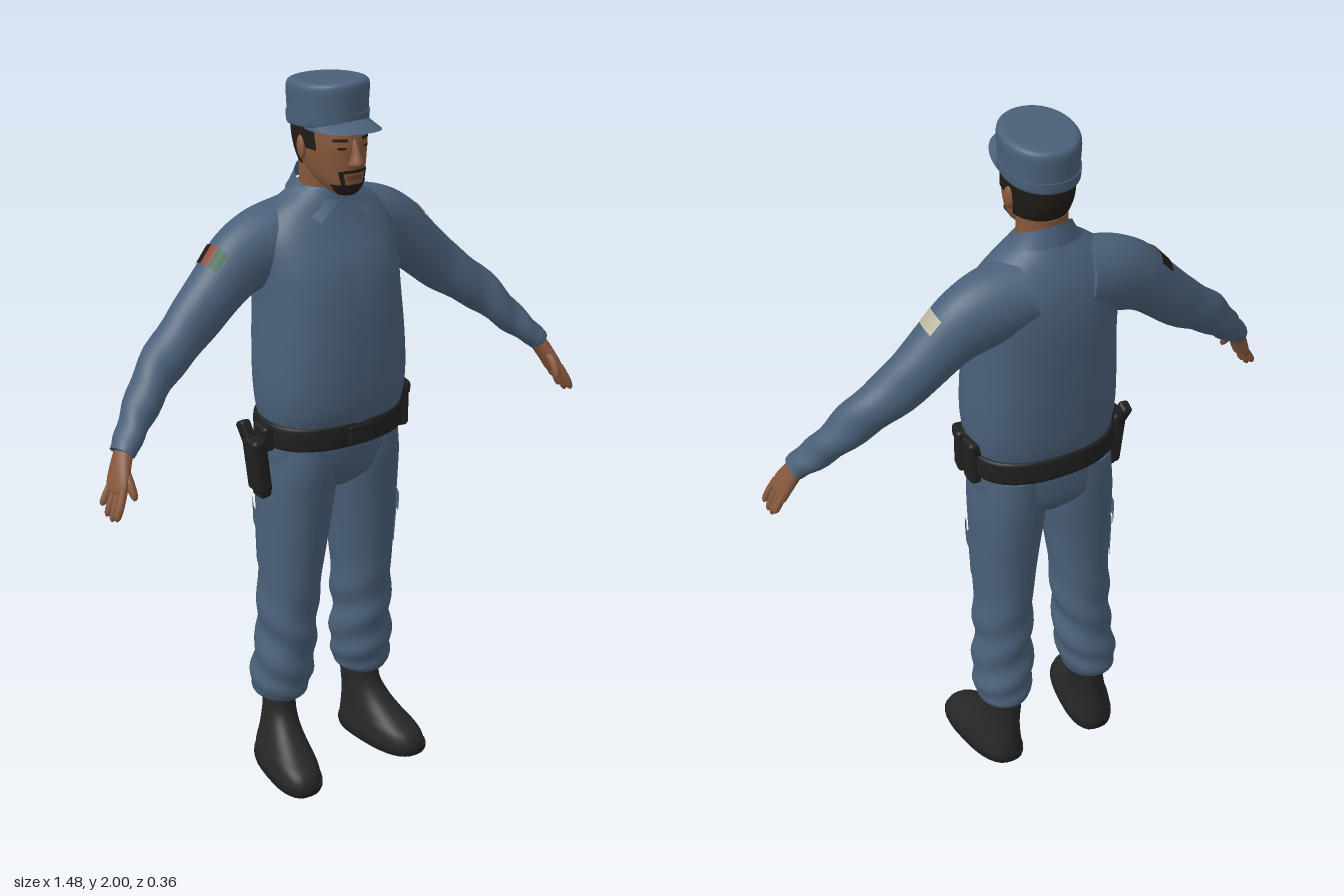
import * as THREE from 'three';
import { RoundedBoxGeometry } from 'three/addons/geometries/RoundedBoxGeometry.js';

const { PI } = Math, V = (x, y, z) => new THREE.Vector3(x, y, z);
const paint = (name, color, open) => {
  const m = new THREE.MeshStandardMaterial({ color, side: open ? THREE.DoubleSide : THREE.FrontSide });
  m.name = name;
  return m;
};

// Smoothly interpolates a table of cross-sections; v is a fractional row index.
function rowAt(rows, v) {
  const n = rows.length - 1, i = Math.min(Math.max(Math.floor(v), 0), n - 1), t = v - i;
  const r = k => rows[Math.min(Math.max(k, 0), n)];
  return rows[i].map((p1, c) => {
    const p0 = r(i - 1)[c], p2 = r(i + 1)[c], p3 = r(i + 2)[c];
    return p1 + 0.5 * t * (p2 - p0 + t * (2 * p0 - 5 * p1 + 4 * p2 - p3 + t * (3 * (p1 - p2) + p3 - p0)));
  });
}
const pow = (c, e) => Math.sign(c) * Math.abs(c) ** e;

// Upright surface, rows: [y, centreX, halfWidth, zFront, zBack, squareness]
const upright = (rows, ripple = () => 0) => ({
  max: rows.length - 1,
  at(v, t, grow) {
    const [y, cx, rx, zf, zb, e] = rowAt(rows, v), g = grow + ripple(v, t);
    return V(cx + (rx + g) * pow(Math.cos(t), 2 / e), y, (zf + zb) / 2 + ((zf - zb) / 2 + g) * pow(Math.sin(t), 2 / e));
  },
});

// Limb surface along a path, rows: [x, y, z, thickness, width]
const limb = (rows, ripple = () => 0) => ({
  max: rows.length - 1,
  at(v, t, grow) {
    const m = rows.length - 1, [x, y, z, rn, rz] = rowAt(rows, v), g = grow + ripple(v, t);
    const p = rowAt(rows, Math.max(v - 0.1, 0)), q = rowAt(rows, Math.min(v + 0.1, m));
    const d = V(q[0] - p[0], q[1] - p[1], q[2] - p[2]).normalize();
    const a = V(0, 0, 1).addScaledVector(d, -d.z).normalize(), b = a.clone().cross(d);
    return V(x, y, z).addScaledVector(a, (rz + g) * Math.cos(t)).addScaledVector(b, (rn + g) * Math.sin(t));
  },
});

// Meshes a surface, either whole with end caps or only a patch of it.
function skin(S, { v0 = 0, v1 = S.max, t0 = 0, t1 = 2 * PI, grow = 0, nt = 32, nv = Math.ceil((v1 - v0) * 5) } = {}) {
  const full = t1 - t0 > 6.28, cols = full ? nt : nt + 1, pos = [], idx = [];
  const ring = i => {
    for (let j = 0; j < cols; j++) pos.push(...S.at(v0 + (v1 - v0) * i / nv, t0 + (t1 - t0) * j / nt, grow).toArray());
  };
  for (let i = 0; i <= nv; i++) ring(i);
  for (let i = 0; i < nv; i++) for (let j = 0; j < nt; j++) {
    const a = i * cols + j, b = i * cols + (j + 1) % cols;
    idx.push(a, a + cols, b, b, a + cols, b + cols);
  }
  if (full) for (const end of [0, nv]) {
    const s = pos.length / 3, c = V(0, 0, 0);
    ring(end);
    for (let j = 0; j < cols; j++) c.add(V(...pos.slice((s + j) * 3, (s + j) * 3 + 3)));
    pos.push(...c.divideScalar(cols).toArray());
    for (let j = 0; j < cols; j++) {
      const k = s + (j + 1) % cols;
      idx.push(s + cols, ...(end ? [k, s + j] : [s + j, k]));
    }
  }
  const g = new THREE.BufferGeometry();
  g.setAttribute('position', new THREE.Float32BufferAttribute(pos, 3));
  g.setIndex(idx);
  g.computeVertexNormals();
  return g;
}

// Moves every vertex by a rule.
function bend(g, rule) {
  const p = g.attributes.position;
  for (let i = 0; i < p.count; i++) p.setXYZ(i, ...rule(p.getX(i), p.getY(i), p.getZ(i)));
  g.computeVertexNormals();
  return g;
}
function mirror(src) {
  const g = src.clone(), a = g.index.array;
  for (let i = 0; i < a.length; i += 3) [a[i], a[i + 1]] = [a[i + 1], a[i]];
  return bend(g, (x, y, z) => [-x, y, z]);
}

export function createModel() {
  const model = new THREE.Group();
  const cloth = paint('blue cloth', 0x4a6079, true), flesh = paint('skin', 0x87583c), hair = paint('dark hair', 0x211b18, true);
  const leather = paint('black leather', 0x202021), boot = paint('boot black', 0x272727), lip = paint('lip', 0x6d4030, true);
  const cream = paint('cream patch', 0xb9b49c, true), red = paint('flag red', 0x8c4a38, true), green = paint('flag green', 0x0f5a38, true);
  const add = (name, g, mat) => {
    const m = new THREE.Mesh(g, mat);
    m.name = name;
    model.add(m);
    return m;
  };
  const pair = (name, g, mat) => { add('left ' + name, g, mat); add('right ' + name, mirror(g), mat); };
  const box = (name, size, at, mat, rot = [0, 0, 0]) => {
    const m = add(name, new RoundedBoxGeometry(...size, 3, Math.min(...size) * 0.3), mat);
    m.position.set(...at);
    m.rotation.set(...rot);
  };

  // Shirt with placket and pocket flaps
  const torso = upright([
    [1.07, 0, .192, .122, -.15, 2.4], [1.13, 0, .205, .145, -.165, 2.4], [1.2, 0, .21, .152, -.172, 2.4],
    [1.3, 0, .207, .15, -.178, 2.4], [1.42, 0, .2, .138, -.182, 2.4], [1.52, 0, .2, .115, -.18, 2.4],
    [1.6, 0, .195, .078, -.165, 2.3], [1.66, 0, .155, .05, -.14, 2.1], [1.7, 0, .1, .036, -.115, 2], [1.72, 0, .074, .028, -.1, 2]]);
  add('shirt', skin(torso, { nt: 48 }), cloth);
  add('placket', skin(torso, { v0: .2, v1: 7.6, t0: PI / 2 - .05, t1: PI / 2 + .05, grow: .003, nt: 4 }), cloth);
  pair('pocket flap', skin(torso, { v0: 4.72, v1: 5.15, t0: .72, t1: 1.32, grow: .006, nt: 10 }), cloth);

  // Fold-down collar, open at the front
  const collar = { max: 1, at(v, t) {
    const f = .75 + (t / PI) * (PI - .75), c = Math.cos(f), k = c > 0;
    const top = V(.078 * Math.sin(t), 1.728 - .04 * Math.cos(t), -.03 + .075 * Math.cos(t));
    const low = V(.105 * Math.sin(f), 1.695 - (k ? .075 : .02) * c, -.035 + (k ? .135 : .085) * c);
    return low.lerp(top, v);
  } };
  pair('collar', skin(collar, { t0: .03, t1: PI, nv: 4, nt: 24 }), cloth);

  // Sleeves with shoulder patch and flag
  const sleeve = limb([
    [.08, 1.585, -.07, .1, .1], [.17, 1.565, -.07, .103, .09], [.24, 1.535, -.068, .095, .08], [.3, 1.49, -.063, .08, .073],
    [.4, 1.4, -.053, .07, .063], [.515, 1.312, -.025, .057, .056], [.6, 1.224, .015, .042, .047],
    [.655, 1.17, .05, .032, .041], [.67, 1.154, .057, .03, .038]],
  (v, t) => v > 3.5 && v < 7.5 ? .003 * Math.sin(2 * t + v * 6) * Math.sin((v - 3.5) * PI / 4) : 0);
  pair('sleeve', skin(sleeve), cloth);
  add('shoulder patch', skin(sleeve, { v0: 2.45, v1: 2.95, t0: 1.15, t1: 2.05, grow: .003, nt: 8 }), cream);
  [['green', green, .9, 1.28], ['red', red, 1.28, 1.68], ['black', hair, 1.68, 2.25]].forEach(([n, mat, t0, t1]) =>
    add(`flag ${n} stripe`, mirror(skin(sleeve, { v0: 2.4, v1: 3, t0, t1, grow: .003, nt: 6 })), mat));

  // Hands
  pair('palm', skin(limb([[.65, 1.178, .047, .022, .028], [.674, 1.14, .062, .022, .033], [.695, 1.1, .078, .018, .042],
    [.707, 1.072, .088, .014, .042], [.71, 1.064, .09, .006, .036]]), { nt: 20 }), flesh);
  [-1.5, -.5, .5, 1.5].forEach((k, i) => {
    const z = .088 + k * .021, len = [.7, .95, 1, .88][i];
    pair('finger ' + (i + 1), skin(limb([[.702, 1.085, z, .01, .01], [.72, 1.085 - .042 * len, z + .006 + k * .003, .0105, .0105],
      [.731, 1.085 - .07 * len, z + .008 + k * .004, .009, .009], [.735, 1.085 - .081 * len, z + .008 + k * .005, .003, .003]]), { nt: 10 }), flesh);
  });
  pair('thumb', skin(limb([[.68, 1.13, .08, .012, .014], [.683, 1.1, .112, .012, .013], [.682, 1.07, .132, .01, .01],
    [.681, 1.058, .137, .004, .004]]), { nt: 10 }), flesh);

  // Trousers
  add('hips', skin(upright([[.885, 0, .07, .06, -.11, 2], [.93, 0, .18, .1, -.146, 2.4], [1, 0, .2, .12, -.155, 2.4],
    [1.09, 0, .195, .124, -.152, 2.4]]), { nt: 40 }), cloth);
  const leg = upright([
    [.222, .14, .064, .015, -.132, 2], [.238, .14, .076, .03, -.145, 2], [.28, .138, .082, .04, -.145, 2.1],
    [.34, .132, .085, .047, -.136, 2.1], [.42, .128, .078, .055, -.13, 2.1], [.5, .125, .081, .06, -.13, 2.1],
    [.6, .12, .08, .07, -.13, 2.1], [.75, .112, .09, .086, -.136, 2.2], [.88, .104, .1, .1, -.146, 2.2],
    [.96, .1, .099, .112, -.15, 2.2], [1.03, .097, .095, .112, -.15, 2.2]],
  (v, t) => v > .5 && v < 6.5 ? .005 * Math.sin(2 * t + v * 4) * Math.sin((v - .5) * PI / 6) : 0);
  pair('trouser leg', skin(leg), cloth);
  pair('cargo pocket', skin(leg, { v0: 6.3, v1: 7.1, t0: -.8, t1: .75, grow: .003, nt: 12 }), cloth);
  pair('cargo flap', bend(skin(leg, { v0: 7, v1: 7.4, t0: -.85, t1: .8, grow: .008, nt: 12 }), (x, y, z) => [x, y - z * .15, z]), cloth);

  // Boots, toes turned slightly out
  const splay = (x, y, z) => [x + .13 * (z + .08), y, z];
  const shoe = upright([[.008, .152, .068, .166, -.128, 2.6], [.03, .152, .07, .17, -.13, 2.5], [.06, .151, .066, .152, -.128, 2.4],
    [.09, .148, .058, .1, -.124, 2.3], [.13, .144, .05, .042, -.12, 2.2], [.18, .139, .047, .005, -.12, 2], [.25, .137, .05, -.002, -.123, 2]]);
  pair('boot', bend(skin(shoe), splay), boot);
  const sole = upright([[0, .152, .07, .17, -.13, 2.6], [.012, .152, .073, .175, -.132, 2.6], [.024, .152, .072, .174, -.132, 2.6]]);
  pair('boot sole', bend(skin(sole), splay), leather);

  // Belt, buckle, pouches and holster
  add('belt', skin(upright([[1.032, 0, .203, .13, -.16, 2.4], [1.04, 0, .209, .137, -.166, 2.4], [1.09, 0, .209, .139, -.166, 2.4],
    [1.1, 0, .203, .133, -.16, 2.4]]), { nt: 48 }), leather);
  box('buckle', [.075, .055, .014], [0, 1.065, .138], leather);
  [.033, -.03].forEach((z, i) => {
    box(`pouch ${i + 1}`, [.045, .125, .056], [.2, 1.068, z], leather, [0, i ? 0 : -.2, 0]);
    box(`pouch flap ${i + 1}`, [.052, .04, .06], [.2, 1.118, z], leather, [0, i ? 0 : -.2, 0]);
  });
  box('holster hanger', [.035, .07, .06], [-.215, 1.06, 0], leather);
  box('holster', [.042, .16, .07], [-.238, .985, 0], leather, [0, 0, .12]);
  box('holster tip', [.036, .07, .05], [-.229, .925, .004], leather, [0, 0, .1]);
  box('pistol grip', [.03, .09, .038], [-.25, 1.06, -.025], leather, [-.45, 0, .12]);

  // Neck, head and face
  add('neck', skin(upright([[1.64, 0, .07, .03, -.1, 2], [1.7, 0, .066, .028, -.094, 2], [1.78, 0, .066, .035, -.1, 2]])), flesh);
  const head = upright([[1.712, 0, .028, .088, .02, 2], [1.725, 0, .043, .098, -.005, 2.1], [1.745, 0, .057, .104, -.045, 2.2],
    [1.775, 0, .069, .106, -.088, 2.2], [1.81, 0, .076, .107, -.11, 2.2], [1.85, 0, .08, .107, -.12, 2.2], [1.92, 0, .083, .09, -.122, 2.2]]);
  const face = (name, v0, v1, t0, t1, mat, grow = .003) => add(name, skin(head, { v0, v1, t0: PI / 2 + t0, t1: PI / 2 + t1, grow, nt: 14, nv: 6 }), mat);
  add('head', skin(head), flesh);
  add('nose', skin(upright([[1.786, 0, .01, .118, .09, 2], [1.794, 0, .019, .13, .085, 2], [1.803, 0, .018, .135, .085, 2],
    [1.825, 0, .012, .125, .085, 2], [1.85, 0, .009, .113, .085, 2], [1.86, 0, .006, .106, .085, 2]]), { nt: 16 }), flesh);
  face('beard', 0, 1.95, -1.05, 1.05, hair, .004);
  face('moustache', 2.95, 3.2, -.42, .42, hair);
  face('lips', 2.35, 2.75, -.3, .3, lip);
  face('back hair', 3.1, 6, PI / 2 + .2, 1.5 * PI - .2, hair, .005);
  face('side hair', 4.5, 6, PI / 2 - .4, 1.5 * PI + .4, hair, .004);
  for (const s of [-1, 1]) {
    face('beard side', 1.9, 3.15, s * .5 - .09, s * .5 + .09, hair);
    face('eyebrow', 5.1, 5.2, s * .45 - .22, s * .45 + .22, hair);
    face('eye', 4.72, 4.84, s * .43 - .13, s * .43 + .13, hair, .002);
    const ear = add('ear', new THREE.SphereGeometry(1, 16, 12), flesh);
    ear.scale.set(.011, .032, .019);
    ear.position.set(s * .081, 1.825, -.015);
    ear.rotation.set(-.15, s * .3, 0);
  }

  // Cap with band and visor
  const tilt = (x, y, z) => [x, y + .09 * z - .003, z];
  const cap = upright([[1.885, 0, .092, .094, -.127, 2.1], [1.895, 0, .095, .097, -.13, 2.1], [1.94, 0, .097, .099, -.132, 2.1],
    [1.978, 0, .099, .1, -.133, 2.1], [1.993, 0, .094, .095, -.128, 2.1], [1.998, 0, .083, .084, -.117, 2.1]]);
  add('cap', bend(skin(cap, { nt: 40 }), tilt), cloth);
  add('cap band', bend(skin(cap, { v0: .3, v1: 1.5, grow: .003, nt: 40 }), tilt), cloth);
  const visor = { max: 1, at: (v, t) => V(.089 * Math.cos(t), 1.908 - .014 * v - .016 * Math.cos(t) ** 2, -.015 + (.1 + .095 * v) * pow(Math.sin(t), .85)) };
  add('visor', skin(visor, { t0: .1, t1: PI - .1, nv: 5 }), cloth);
  return model;
}
